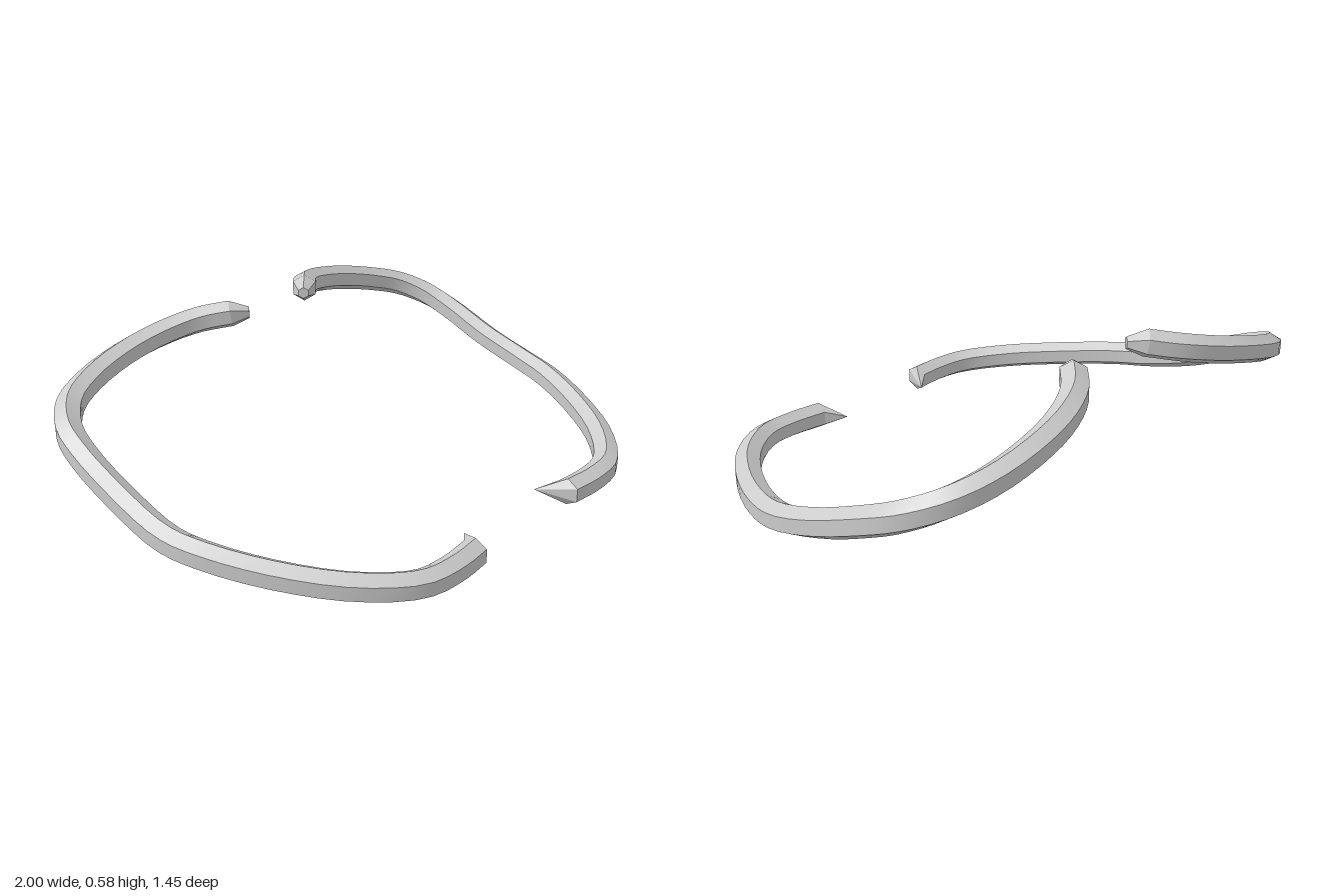
import * as THREE from 'three';
import { mergeGeometries } from 'three/addons/utils/BufferGeometryUtils.js';

const SIDES = 6, RADIUS = 0.05, STEPS = 48;

// Centre line of the left rod, from the raised back end round to the front
const PATH = [
  [0.19, 0.538, -0.53], [0.28, 0.518, -0.61], [0.4, 0.49, -0.662], [0.55, 0.455, -0.685],
  [0.72, 0.41, -0.67], [0.85, 0.37, -0.615], [0.925, 0.325, -0.52], [0.951, 0.275, -0.4],
  [0.955, 0.195, -0.2], [0.952, 0.139, 0], [0.918, 0.12, 0.14], [0.82, 0.093, 0.345],
  [0.68, 0.07, 0.54], [0.52, 0.056, 0.663], [0.385, 0.054, 0.682], [0.262, 0.054, 0.672],
];
const BACK_END = [0.14, 0.54, -0.485];
const FRONT_TIP = [0.197, 0.054, 0.577];

// Hexagonal ring, one corner up, square to the tangent
function ring(center, tangent, radius) {
  const side = new THREE.Vector3().crossVectors(tangent, new THREE.Vector3(0, 1, 0)).normalize();
  const up = new THREE.Vector3().crossVectors(side, tangent).normalize();
  return Array.from({ length: SIDES }, (_, i) => {
    const a = (i / SIDES) * Math.PI * 2;
    return center.clone().addScaledVector(side, Math.sin(a) * radius).addScaledVector(up, Math.cos(a) * radius);
  });
}

// One strip per side: smooth along the length, sharp between sides
function skin(rings) {
  const strips = [];
  for (let s = 0; s < SIDES; s++) {
    const pos = [], index = [];
    rings.forEach((r, i) => {
      pos.push(...r[s].toArray(), ...r[(s + 1) % SIDES].toArray());
      if (i) {
        const a = 2 * i - 2;
        index.push(a, a + 1, a + 2, a + 1, a + 3, a + 2);
      }
    });
    const g = new THREE.BufferGeometry();
    g.setAttribute('position', new THREE.Float32BufferAttribute(pos, 3));
    g.setIndex(index);
    g.computeVertexNormals();
    strips.push(g);
  }
  return mergeGeometries(strips);
}

function createRod(sign, material) {
  const vec = ([x, y, z]) => new THREE.Vector3(x * sign, y, z);
  const curve = new THREE.CatmullRomCurve3(PATH.map(vec));
  const rings = [];
  for (let i = 0; i <= STEPS; i++) {
    rings.push(ring(curve.getPoint(i / STEPS), curve.getTangent(i / STEPS), RADIUS));
  }
  const first = rings[0], last = rings[STEPS];

  // Back end narrows to a small flat face
  const back = vec(BACK_END);
  const small = ring(back, curve.getPoint(0).sub(back).normalize(), 0.022);
  const centre = Array(SIDES).fill(back);
  // Front end closes in a point bent inwards
  const tip = Array(SIDES).fill(vec(FRONT_TIP));

  const rod = new THREE.Group();
  const add = (name, geometry) => {
    const mesh = new THREE.Mesh(geometry, material);
    mesh.name = name;
    rod.add(mesh);
  };
  add('rodBody', skin(rings));
  add('backTaper', skin([small, first]));
  add('backCap', skin([centre, small]));
  add('frontPoint', skin([last, tip]));
  return rod;
}

export function createModel() {
  const model = new THREE.Group();
  model.name = 'curvedRodPair';
  const material = new THREE.MeshStandardMaterial({ color: 0xcccccc, side: THREE.DoubleSide });
  for (const [name, sign] of [['leftRod', 1], ['rightRod', -1]]) {
    const rod = createRod(sign, material);
    rod.name = name;
    model.add(rod);
  }
  return model;
}
